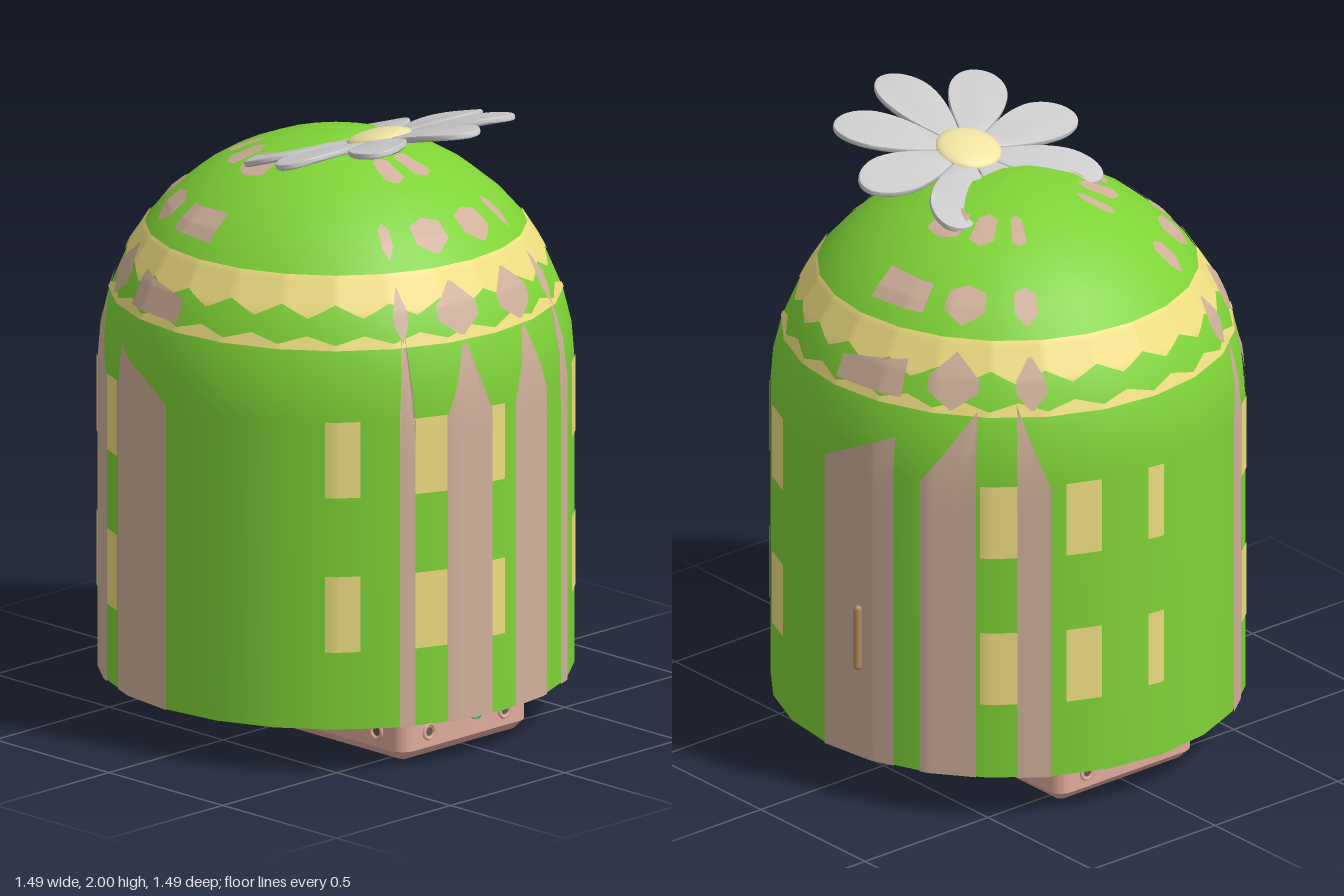
import * as THREE from 'three';
import { toCreasedNormals } from 'three/addons/utils/BufferGeometryUtils.js';

const material = (color) => new THREE.MeshStandardMaterial({ color });
const GREEN = material(0x7fd336), TAN = material(0xcfb09a), YELLOW = material(0xeedd80);
const PINK = material(0xe0ab9c), WHITE = material(0xcccccc), LEAF = material(0x17a562);
const CREAM = material(0xeee2a2), BROWN = material(0xb08a5c), DARK = material(0x6e5850);
const GREY = material(0xb4b4b4);

const SIDES = 24, RADIUS = 0.74, FLOOR = 0.15, SPRING = 1.14, RISE = 0.725, RINGS = 10;
const rad = THREE.MathUtils.degToRad;

function add(parent, name, geometry, mat, x = 0, y = 0, z = 0) {
  const mesh = new THREE.Mesh(geometry, mat);
  mesh.name = name;
  mesh.position.set(x, y, z);
  parent.add(mesh);
  return mesh;
}

// House profile: straight wall and elliptical dome
const profile = [new THREE.Vector2(RADIUS, FLOOR)];
for (let i = 0; i <= RINGS; i++) {
  const t = (i / RINGS) * Math.PI / 2;
  profile.push(new THREE.Vector2(i === RINGS ? 0 : RADIUS * Math.cos(t), SPRING + RISE * Math.sin(t)));
}

// Radius of the faceted house at a given height and angle
function radiusAt(y, angle) {
  let i = 0;
  while (i < profile.length - 2 && profile[i + 1].y < y) i++;
  const a = profile[i], b = profile[i + 1];
  const r = THREE.MathUtils.lerp(a.x, b.x, (y - a.y) / (b.y - a.y));
  const step = 2 * Math.PI / SIDES;
  const local = ((angle % step) + step) % step - step / 2;
  return r * Math.cos(step / 2) / Math.cos(local);
}

// Value at t along a list of evenly spaced heights
function sample(list, t) {
  const f = t * (list.length - 1), i = Math.min(Math.floor(f), list.length - 2);
  return THREE.MathUtils.lerp(list[i], list[i + 1], f - i);
}

// Painted area hugging the house between two angles (degrees) and two edges
function patch(parent, name, mat, a0, a1, low, high, lift = 1.005) {
  const nx = Math.max(6, Math.ceil(Math.abs(a1 - a0) / 1.25)), ny = 16;
  const positions = [], index = [];
  for (let i = 0; i <= nx; i++) {
    const t = i / nx, angle = rad(a0 + (a1 - a0) * t);
    for (let j = 0; j <= ny; j++) {
      const y = THREE.MathUtils.lerp(sample(low, t), sample(high, t), j / ny);
      const r = radiusAt(y, angle) * lift;
      const top = y > SPRING ? SPRING + (y - SPRING) * lift : y;
      positions.push(r * Math.sin(angle), top, r * Math.cos(angle));
      if (i < nx && j < ny) {
        const p = i * (ny + 1) + j, q = p + ny + 1;
        if (a1 > a0) index.push(p, q, q + 1, p, q + 1, p + 1);
        else index.push(p, q + 1, q, p, p + 1, q + 1);
      }
    }
  }
  const geometry = new THREE.BufferGeometry();
  geometry.setAttribute('position', new THREE.Float32BufferAttribute(positions, 3));
  geometry.setIndex(index);
  geometry.computeVertexNormals();
  add(parent, name, geometry, mat);
}

function buildHouse() {
  const house = new THREE.Group();
  house.name = 'house';
  add(house, 'domedBody', new THREE.LatheGeometry(profile, SIDES), GREEN);
  add(house, 'underside', new THREE.CircleGeometry(RADIUS, SIDES).rotateX(Math.PI / 2), GREY, 0, FLOOR, 0);

  // Yellow bands with jagged edges
  const zigzag = (n, a, b) => Array.from({ length: n + 1 }, (_, i) => (i % 2 ? a : b));
  patch(house, 'upperBand', YELLOW, -180, 180, zigzag(48, 1.455, 1.495), [1.575, 1.575]);
  patch(house, 'lowerBand', YELLOW, -180, 180, [1.365, 1.365], zigzag(48, 1.405, 1.38));

  // Painted columns: [from angle, to angle, top edge], mirrored on both sides
  const columns = [
    [4, 17, [1.14, 1.25, 1.38, 1.25, 1.14]],
    [25.5, 29.5, [1.14, 1.5, 1.14]],
    [90, 111, [1.14, 1.27]],
    [118, 132, [1.14, 1.38]],
    [142, 150, [1.4, 1.14]],
  ];
  for (const side of [1, -1]) {
    for (const [a0, a1, top] of columns) {
      const b0 = a0 * side, b1 = a1 * side, wide = a0 === 90;
      patch(house, 'paintedColumn', TAN, b0, b1, [FLOOR, FLOOR], top, 1.008);
      patch(house, 'spearHead', TAN, b0, b1, wide ? [1.39, 1.39] : [1.43, 1.375, 1.43],
        wide ? [1.46, 1.5] : [1.47, 1.54, 1.47], 1.008);
      patch(house, 'lowerSpot', TAN, b0, b1, wide ? [1.62, 1.62] : [1.64, 1.605, 1.64],
        wide ? [1.7, 1.69] : [1.685, 1.7, 1.685]);
      if (a0 !== 25.5) patch(house, 'upperSpot', TAN, b0, b1, [1.79, 1.78, 1.79], [1.825, 1.832, 1.825]);
    }
  }

  // Two rows of windows
  const windows = [[38, 46.5], [60, 68.5], [133, 142], [154, 163], [176, 180.5],
    [-5, 0], [-26, -17], [-47.5, -39], [-119, -112], [-141, -133]];
  for (const [a0, a1] of windows) {
    for (const y of [0.4, 0.9]) patch(house, 'window', YELLOW, a0, a1, [y, y], [y + 0.245, y + 0.245]);
  }

  // Door handle
  const handle = new THREE.Group();
  handle.name = 'doorHandle';
  add(handle, 'handleBar', new THREE.CapsuleGeometry(0.013, 0.194, 4, 10), BROWN, 0.736, 0.56, -0.147);
  for (const y of [0.49, 0.63]) {
    add(handle, 'handlePost', new THREE.CylinderGeometry(0.009, 0.009, 0.04, 8).rotateZ(Math.PI / 2),
      BROWN, 0.72, y, -0.147);
  }
  house.add(handle);
  return house;
}

function buildBase() {
  const base = new THREE.Group();
  base.name = 'base';
  const w = 0.28, d = 0.575, r = 0.05;
  const outline = new THREE.Shape();
  outline.moveTo(-w + r, -d).lineTo(w - r, -d);
  outline.absarc(w - r, -d + r, r, -Math.PI / 2, 0);
  outline.absarc(w - r, d - r, r, 0, Math.PI / 2);
  outline.absarc(-w + r, d - r, r, Math.PI / 2, Math.PI);
  outline.absarc(-w + r, -d + r, r, Math.PI, Math.PI * 1.5);
  const block = new THREE.ExtrudeGeometry(outline, {
    depth: 0.12, bevelThickness: 0.03, bevelSize: 0.03, bevelOffset: -0.03, bevelSegments: 1, curveSegments: 6,
  });
  add(base, 'baseBlock', toCreasedNormals(block.rotateX(-Math.PI / 2), 0.5), PINK, 0, 0.03, 0);

  // Screw sockets near the ends of every side
  const socket = (x, z, turn) => {
    const g = new THREE.Group();
    g.name = 'screwSocket';
    add(g, 'socketRing', new THREE.TorusGeometry(0.023, 0.006, 6, 20), PINK);
    add(g, 'socketHole', new THREE.CircleGeometry(0.014, 16), DARK, 0, 0, 0.002);
    g.position.set(x, 0.08, z);
    g.rotation.y = turn;
    base.add(g);
  };
  for (const s of [1, -1]) {
    for (const e of [1, -1]) {
      socket(e * 0.165, s * d, s > 0 ? 0 : Math.PI);
      socket(s * w, e * 0.46, s * Math.PI / 2);
    }
  }

  // Small drooping leaf at the front
  const leaf = add(base, 'frontLeaf', new THREE.SphereGeometry(1, 16, 8), LEAF, -0.004, 0.113, 0.6);
  leaf.scale.set(0.03, 0.006, 0.034);
  leaf.rotation.x = 0.4;
  return base;
}

function buildFlower() {
  const flower = new THREE.Group();
  flower.name = 'flower';
  const outline = new THREE.Shape();
  outline.moveTo(-0.02, 0.05);
  outline.bezierCurveTo(-0.05, 0.13, -0.093, 0.2, -0.093, 0.3);
  outline.bezierCurveTo(-0.09, 0.37, -0.05, 0.427, 0, 0.427);
  outline.bezierCurveTo(0.05, 0.427, 0.09, 0.37, 0.093, 0.3);
  outline.bezierCurveTo(0.093, 0.2, 0.05, 0.13, 0.02, 0.05);
  const petal = new THREE.ExtrudeGeometry(outline, {
    depth: 0.008, bevelThickness: 0.006, bevelSize: 0.006, bevelOffset: -0.006, bevelSegments: 2, curveSegments: 10,
  });
  // Cup each petal slightly
  const p = petal.attributes.position;
  for (let i = 0; i < p.count; i++) p.setZ(i, p.getZ(i) + 1.2 * p.getX(i) ** 2 - 0.008);
  petal.rotateX(-Math.PI / 2);
  petal.computeVertexNormals();
  const petalGeometry = toCreasedNormals(petal, 0.7);
  for (let i = 0; i < 8; i++) add(flower, 'petal', petalGeometry, WHITE).rotation.y = i * Math.PI / 4;
  add(flower, 'flowerCentre', new THREE.SphereGeometry(0.105, 28, 14), CREAM, 0, 0.004, 0).scale.y = 0.28;
  add(flower, 'calyx', new THREE.SphereGeometry(0.06, 20, 12), LEAF, 0, -0.03, 0.02).scale.y = 0.42;
  flower.position.set(-0.004, 1.885, 0.195);
  flower.rotation.x = -0.253;
  return flower;
}

export function createModel() {
  const model = new THREE.Group();
  model.name = 'flowerHouse';
  const body = new THREE.Group();
  body.name = 'assembly';
  body.position.x = -0.005;
  body.add(buildHouse(), buildBase(), buildFlower());
  model.add(body);
  return model;
}
